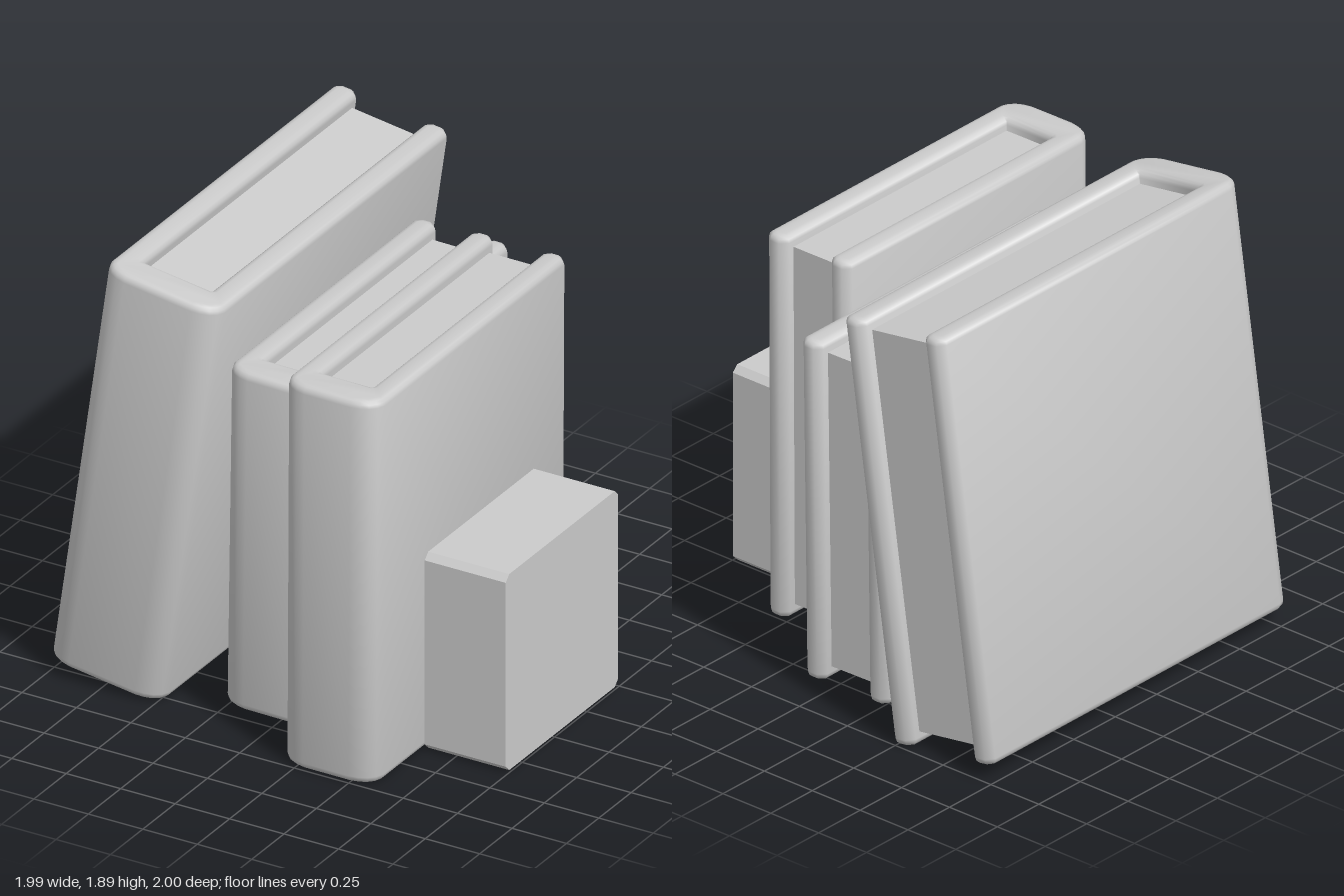
import * as THREE from 'three';
import { toCreasedNormals } from 'three/addons/utils/BufferGeometryUtils.js';

const grey = new THREE.MeshStandardMaterial({ color: 0xcccccc });
const BEVEL = 0.03;

function addMesh(parent, name, geometry) {
  const mesh = new THREE.Mesh(geometry, grey);
  mesh.name = name;
  parent.add(mesh);
  return mesh;
}

// U-shaped cover seen from above: two boards joined by a rounded spine at the front
function coverGeometry(halfWidth, height, back, front, board) {
  const w = halfWidth - BEVEL;
  const inner = halfWidth - board + BEVEL;
  const f = -(front - BEVEL);
  const b = -(back + BEVEL);
  const spine = -(front - 0.16 + BEVEL);
  const c = 0.012;
  const shape = new THREE.Shape();
  shape.moveTo(-w, b - c);
  shape.lineTo(-w, f + 0.06);
  shape.quadraticCurveTo(-w + 0.01, f + 0.008, -w + 0.085, f);
  shape.lineTo(w - 0.085, f);
  shape.quadraticCurveTo(w - 0.01, f + 0.008, w, f + 0.06);
  shape.lineTo(w, b - c);
  shape.lineTo(w - c, b);
  shape.lineTo(inner + c, b);
  shape.lineTo(inner, b - c);
  shape.lineTo(inner, spine + 0.02);
  shape.lineTo(inner - 0.02, spine);
  shape.lineTo(-inner + 0.02, spine);
  shape.lineTo(-inner, spine + 0.02);
  shape.lineTo(-inner, b - c);
  shape.lineTo(-inner - c, b);
  shape.lineTo(-w + c, b);
  const geometry = new THREE.ExtrudeGeometry(shape, {
    depth: height - 2 * BEVEL,
    bevelThickness: BEVEL,
    bevelSize: BEVEL,
    bevelSegments: 3,
    curveSegments: 4,
  });
  geometry.translate(0, 0, BEVEL);
  geometry.rotateX(-Math.PI / 2);
  return toCreasedNormals(geometry, THREE.MathUtils.degToRad(50));
}

// A book stands on its base point and leans sideways by the given angle
function makeBook({ name, x, y, lean, halfWidth, height, back, front, board }) {
  const book = new THREE.Group();
  book.name = name;
  addMesh(book, 'cover', coverGeometry(halfWidth, height, back, front, board));

  // Page block, set in from the cover at the top, bottom and back
  const recess = 0.055;
  const pagesBack = back + recess;
  const pagesFront = front - 0.1;
  const pages = addMesh(book, 'pages', new THREE.BoxGeometry(
    2 * (halfWidth - board) + 0.03, height - 2 * recess, pagesFront - pagesBack));
  pages.position.set(0, height / 2, (pagesBack + pagesFront) / 2);

  book.position.set(x, y, 0);
  book.rotation.z = -THREE.MathUtils.degToRad(lean);
  return book;
}

// Block with chamfers along its four sideways edges
function blockGeometry(width, height, depth, c) {
  const z = depth / 2;
  const shape = new THREE.Shape([
    [-z + c, 0], [z - c, 0], [z, c], [z, height - c],
    [z - c, height], [-z + c, height], [-z, height - c], [-z, c],
  ].map(([px, py]) => new THREE.Vector2(px, py)));
  const geometry = new THREE.ExtrudeGeometry(shape, { depth: width, bevelEnabled: false });
  geometry.translate(0, 0, -width / 2);
  geometry.rotateY(Math.PI / 2);
  return geometry;
}

export function createModel() {
  const model = new THREE.Group();
  model.name = 'bookRow';

  const books = [
    { name: 'leaningBook', x: -0.74, y: 0.036, lean: 8.2, halfWidth: 0.265, height: 1.84, back: -1, front: 0.83, board: 0.11 },
    { name: 'middleBook', x: -0.06, y: 0.004, lean: 0.8, halfWidth: 0.217, height: 1.508, back: -0.8, front: 0.7, board: 0.105 },
    { name: 'tallBook', x: 0.393, y: 0.002, lean: 0.25, halfWidth: 0.217, height: 1.707, back: -0.5, front: 1, board: 0.105 },
  ];
  books.forEach((book) => model.add(makeBook(book)));

  // Small block holding the row up
  const block = addMesh(model, 'bookendBlock', blockGeometry(0.372, 0.875, 0.87, 0.027));
  block.position.set(0.803, 0, 0.174);
  return model;
}
